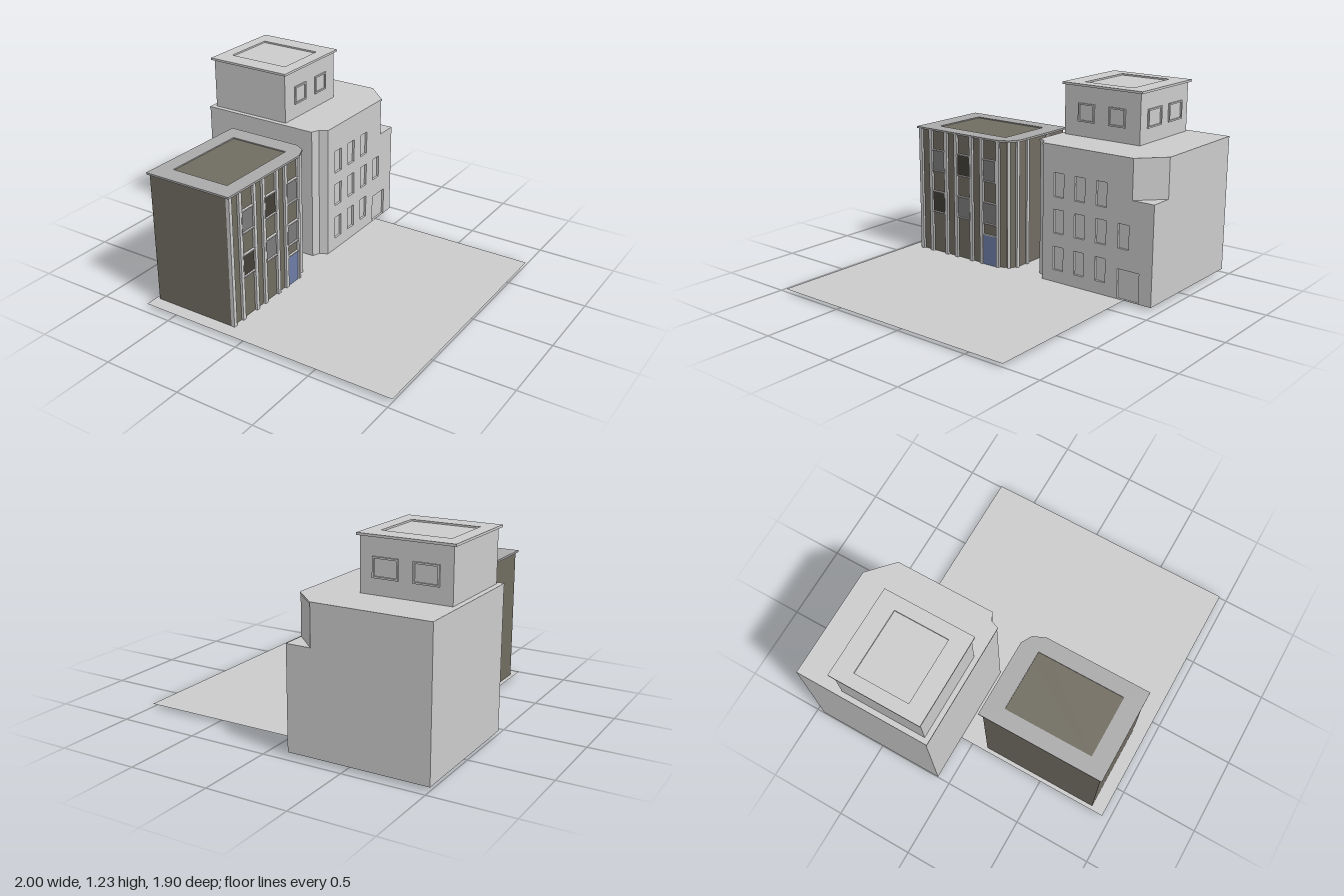
import * as THREE from 'three';

const mat = (color) => new THREE.MeshStandardMaterial({ color, flatShading: true, side: THREE.DoubleSide });

export function createModel() {
  const model = new THREE.Group();
  const grey = mat(0xcccccc), olive = mat(0x706c61), trim = mat(0xaaaaaa);
  const glass = mat(0x7b7b7b), darkGlass = mat(0x423f36), blue = mat(0x6e7da6);

  const add = (name, geometry, material, parent = model) => {
    const mesh = new THREE.Mesh(geometry, material);
    mesh.name = name;
    parent.add(mesh);
    return mesh;
  };
  const group = (name) => {
    const g = new THREE.Group();
    g.name = name;
    model.add(g);
    return g;
  };
  // Box given by its limits on each axis
  const box = (name, x0, x1, y0, y1, z0, z1, material, parent) => {
    const g = new THREE.BoxGeometry(x1 - x0, y1 - y0, z1 - z0);
    g.translate((x0 + x1) / 2, (y0 + y1) / 2, (z0 + z1) / 2);
    return add(name, g, material, parent);
  };
  const outline = (pts) => new THREE.Shape(pts.map(([x, y]) => new THREE.Vector2(x, y)));
  const rect = (x0, x1, y0, y1) => [[x0, y0], [x1, y0], [x1, y1], [x0, y1]];
  const extrude = (pts, holes, depth) => {
    const s = outline(pts);
    s.holes = holes.map(outline);
    return new THREE.ExtrudeGeometry(s, { depth, bevelEnabled: false });
  };
  // Upright prism over a footprint of [x, z] points
  const prism = (name, pts, y0, y1, material, parent, holes = []) => {
    const flip = (list) => list.map(([x, z]) => [x, -z]);
    const g = extrude(flip(pts), holes.map(flip), y1 - y0);
    g.rotateX(-Math.PI / 2).translate(0, y0, 0);
    return add(name, g, material, parent);
  };
  // Plate in the side plane, drawn as [-z, y], running from x0 to x0 + depth
  const sidePlate = (name, pts, holes, x0, depth, material, parent) => {
    const g = extrude(pts, holes, depth);
    g.rotateY(Math.PI / 2).translate(x0, 0, 0);
    return add(name, g, material, parent);
  };

  // Ground sheet
  const groundGeo = new THREE.PlaneGeometry(1.705, 1.71).rotateX(-Math.PI / 2);
  groundGeo.translate(0.1475, 0.02, 0.095);
  add('ground', groundGeo, grey);

  // Rear building: body with a cut-away upper corner
  const rear = group('rearBuilding');
  const frontEdge = [[-1, -0.08], [-0.2, -0.08], [-0.18, -0.13], [-0.13, -0.155]];
  prism('lowerBody', [...frontEdge, [-0.145, -0.155], [-0.145, -0.948], [-1, -0.948]], 0.021, 0.645, grey, rear);
  prism('upperBody', [...frontEdge, [-0.145, -0.155], [-0.145, -0.8], [-0.13, -0.8], [-0.285, -0.948], [-1, -0.948]],
    0.645, 0.885, grey, rear);
  prism('roof', [[-1, -0.075], [-0.197, -0.075], [-0.177, -0.127], [-0.126, -0.153], [-0.126, -0.802], [-0.285, -0.95], [-1, -0.95]],
    0.884, 0.896, grey, rear);

  // Side wall with window and door openings
  const openings = [rect(0.71, 0.86, 0.023, 0.21), rect(0.707, 0.783, 0.338, 0.49)];
  for (const u of [0.238, 0.393, 0.549])
    for (const y of [0.1, 0.338, 0.57]) openings.push(rect(u, u + 0.074, y, y + 0.152));
  sidePlate('windowWall', [[0.155, 0.021], [0.948, 0.021], [0.948, 0.645], [0.8, 0.645], [0.8, 0.885], [0.155, 0.885]],
    openings, -0.145, 0.015, grey, rear);

  // Penthouse with a recessed roof
  const pent = group('penthouse');
  box('walls', -0.967, -0.417, 0.89, 1.217, -0.66, -0.107, grey, pent);
  const roofRim = (pts, hole, y0, y1, material, parent) => prism('roofRim', pts, y0, y1, material, parent, [hole]);
  roofRim(rect(-0.984, -0.403, -0.677, -0.092), rect(-0.904, -0.487, -0.56, -0.21), 1.213, 1.227, grey, pent);
  const frame = (u0, u1, y0, y1, w) => [rect(u0 - w, u1 + w, y0 - w, y1 + w), [rect(u0, u1, y0, y1)]];
  for (const u of [0.22, 0.445])
    sidePlate('sideWindowFrame', ...frame(u, u + 0.1, 1.0, 1.097, 0.01), -0.42, 0.012, grey, pent);
  for (const x of [-0.64, -0.88]) {
    const g = extrude(...frame(x, x + 0.135, 1.0, 1.097, 0.01), 0.012);
    g.translate(0, 0, -0.67);
    add('backWindowFrame', g, grey, pent);
  }

  // Front building with a faceted corner
  const front = group('frontBuilding');
  prism('body', [[-0.68, 0.865], [-0.122, 0.865], [-0.122, 0.2], [-0.15, 0.13], [-0.2, 0.1], [-0.68, 0.1]],
    0.021, 0.859, olive, front);
  roofRim([[-0.695, 0.877], [-0.1, 0.877], [-0.1, 0.198], [-0.134, 0.118], [-0.2, 0.08], [-0.695, 0.08]],
    rect(-0.594, -0.2, 0.198, 0.76), 0.854, 0.866, trim, front);

  // Pillars on the long side, the rear side and the corner
  for (const z of [0.84, 0.753, 0.62, 0.534, 0.402, 0.315])
    box('pillar', -0.13, -0.107, 0, 0.856, z, z + 0.025, grey, front);
  for (const x of [-0.51, -0.307])
    box('rearPillar', x, x + 0.022, 0, 0.856, 0.088, 0.11, grey, front);
  for (const [x, z, turn] of [[-0.119, 0.195, 0.15], [-0.147, 0.129, 0.75], [-0.198, 0.1, 1.4]]) {
    const p = add('cornerPillar', new THREE.BoxGeometry(0.022, 0.835, 0.02), grey, front);
    p.position.set(x, 0.4385, z);
    p.rotation.y = turn;
  }

  // Framed windows between the pillars
  const panes = [[0.586, [darkGlass, 1]], [0.303, [darkGlass, 0]]];
  for (const [y, [odd, oddIndex]] of panes)
    [0.646, 0.427, 0.21].forEach((z, i) => {
      const y1 = y + 0.133;
      // the odd bay of each row is dark
      const inset = i === (oddIndex === 0 ? 0 : 1) ? odd : glass;
      box('windowPane', -0.126, -0.117, y, y1, z, z + 0.107, inset, front);
      sidePlate('windowFrame', ...frame(-z - 0.107, -z, y, y1, 0.007), -0.125, 0.02, grey, front);
    });

  // Entrance door
  box('door', -0.13, -0.114, 0.012, 0.22, 0.21, 0.315, blue, front);
  sidePlate('doorHead', rect(-0.315, -0.21, 0.22, 0.227), [], -0.125, 0.018, grey, front);

  return model;
}
